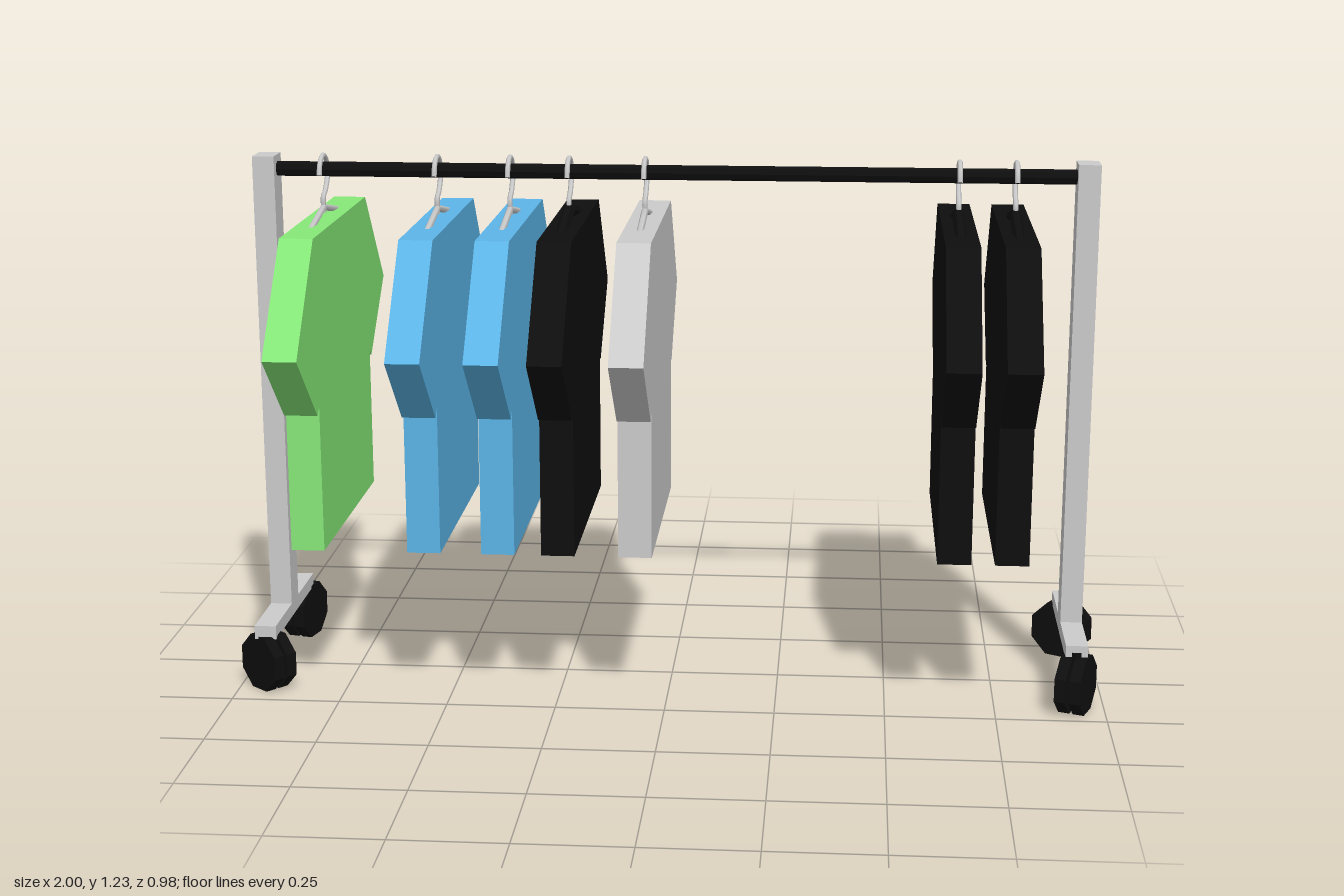
import * as THREE from 'three';

const mat = (color) => new THREE.MeshStandardMaterial({ color, flatShading: true });
const GREY = 0xcccccc, BLACK = 0x0e0e0e, BLUE = 0x5cb5e8, GREEN = 0x86e878;
const AXIS_Z = -0.015;

export function createModel() {
  const root = new THREE.Group();
  const grey = mat(GREY), black = mat(BLACK);
  const smoothGrey = new THREE.MeshStandardMaterial({ color: GREY });

  const add = (parent, name, geo, material, x = 0, y = 0, z = 0) => {
    const m = new THREE.Mesh(geo, material);
    m.name = name;
    m.position.set(x, y, z);
    parent.add(m);
    return m;
  };

  // Hanging rail
  const rail = add(root, 'rail', new THREE.CylinderGeometry(0.017, 0.017, 1.83, 8), black, 0, 1.198, AXIS_Z);
  rail.rotation.z = Math.PI / 2;

  // Upright posts and feet
  for (const s of [-1, 1]) {
    const end = new THREE.Group();
    end.name = s < 0 ? 'rightStand' : 'leftStand';
    add(end, 'post', new THREE.BoxGeometry(0.05, 1.1, 0.07), grey, s * 0.932, 0.68, AXIS_Z);
    add(end, 'foot', new THREE.BoxGeometry(0.05, 0.032, 0.4), grey, s * 0.932, 0.145, AXIS_Z);
    root.add(end);
  }

  // Swivelled twin-wheel casters: x, z, rolling direction (dx, dz)
  const casters = [
    [-0.932, -0.215, 0.25, -1], [-0.932, 0.16, 0.75, 0.65],
    [0.932, 0.18, -0.4, 1], [0.932, -0.21, 0.87, 0.5],
  ];
  for (const [x, z, dx, dz] of casters) {
    const caster = new THREE.Group();
    caster.name = 'caster';
    caster.position.set(x, 0.07, z);
    caster.rotation.y = Math.atan2(dx, dz);
    for (const s of [-1, 1]) {
      const wheel = add(caster, 'wheel', new THREE.CylinderGeometry(0.07, 0.07, 0.026, 8), black, s * 0.017);
      wheel.rotation.set(Math.PI / 8, 0, Math.PI / 2, 'XYZ');
    }
    const hub = add(caster, 'axle', new THREE.CylinderGeometry(0.03, 0.03, 0.05, 8), black);
    hub.rotation.z = Math.PI / 2;
    add(caster, 'stem', new THREE.CylinderGeometry(0.012, 0.012, 0.08, 8), black, 0, 0.035);
    root.add(caster);
  }

  // T-shirt outline, half mirrored; extruded along the rail
  const half = [[0.29, 1.09], [0.49, 0.86], [0.307, 0.697], [0.288, 0.715], [0.288, 0.38]];
  const outline = [...half, ...half.map(([a, b]) => [-a, b]).reverse()];
  const shirtShape = new THREE.Shape(outline.map(([a, b]) => new THREE.Vector2(a, b)));
  const THICK = 0.075;
  const shirtGeo = new THREE.ExtrudeGeometry(shirtShape, { depth: THICK, bevelEnabled: false });
  shirtGeo.translate(0, 0, -THICK / 2);
  shirtGeo.rotateY(Math.PI / 2);

  // Hook wire: stem, then round over the rail
  const hookPts = [[0, 1.1], [0, 1.135], [-0.025, 1.148]];
  for (let i = 0; i <= 8; i++) {
    const a = THREE.MathUtils.degToRad(-145 + i * -25.5) + Math.PI * 2;
    const t = a - Math.PI * 0.03;
    if (i > 0) hookPts.push([-0.01 + 0.045 * Math.cos(t), 1.185 + 0.045 * Math.sin(t)]);
  }
  // Run the bend on the far side of the rail
  const hookCurve = new THREE.CatmullRomCurve3(hookPts.map(([z, y]) => new THREE.Vector3(0, y, z)));
  const hookGeo = new THREE.TubeGeometry(hookCurve, 28, 0.006, 6);

  // Sloping hanger shoulders that show above the collar
  const shoulderCurve = new THREE.CurvePath();
  const pts = [[-0.26, 1.06], [0, 1.113], [0.26, 1.06]].map(([z, y]) => new THREE.Vector3(0, y, z));
  shoulderCurve.add(new THREE.LineCurve3(pts[0], pts[1]));
  shoulderCurve.add(new THREE.LineCurve3(pts[1], pts[2]));

  const shirts = [
    [-0.8, GREEN], [-0.537, BLUE], [-0.37, BLUE], [-0.235, BLACK],
    [-0.062, GREY], [0.645, BLACK], [0.772, BLACK],
  ];
  for (const [x, color] of shirts) {
    const g = new THREE.Group();
    g.name = 'hangingShirt';
    g.position.x = x;
    const dark = color === BLACK;
    add(g, 'shirt', shirtGeo, mat(color));
    add(g, 'hangerHook', hookGeo, smoothGrey);
    add(g, 'hangerShoulders', new THREE.TubeGeometry(shoulderCurve, 8, dark ? 0.014 : 0.008, 6),
      dark ? black : smoothGrey);
    root.add(g);
  }
  return root;
}
